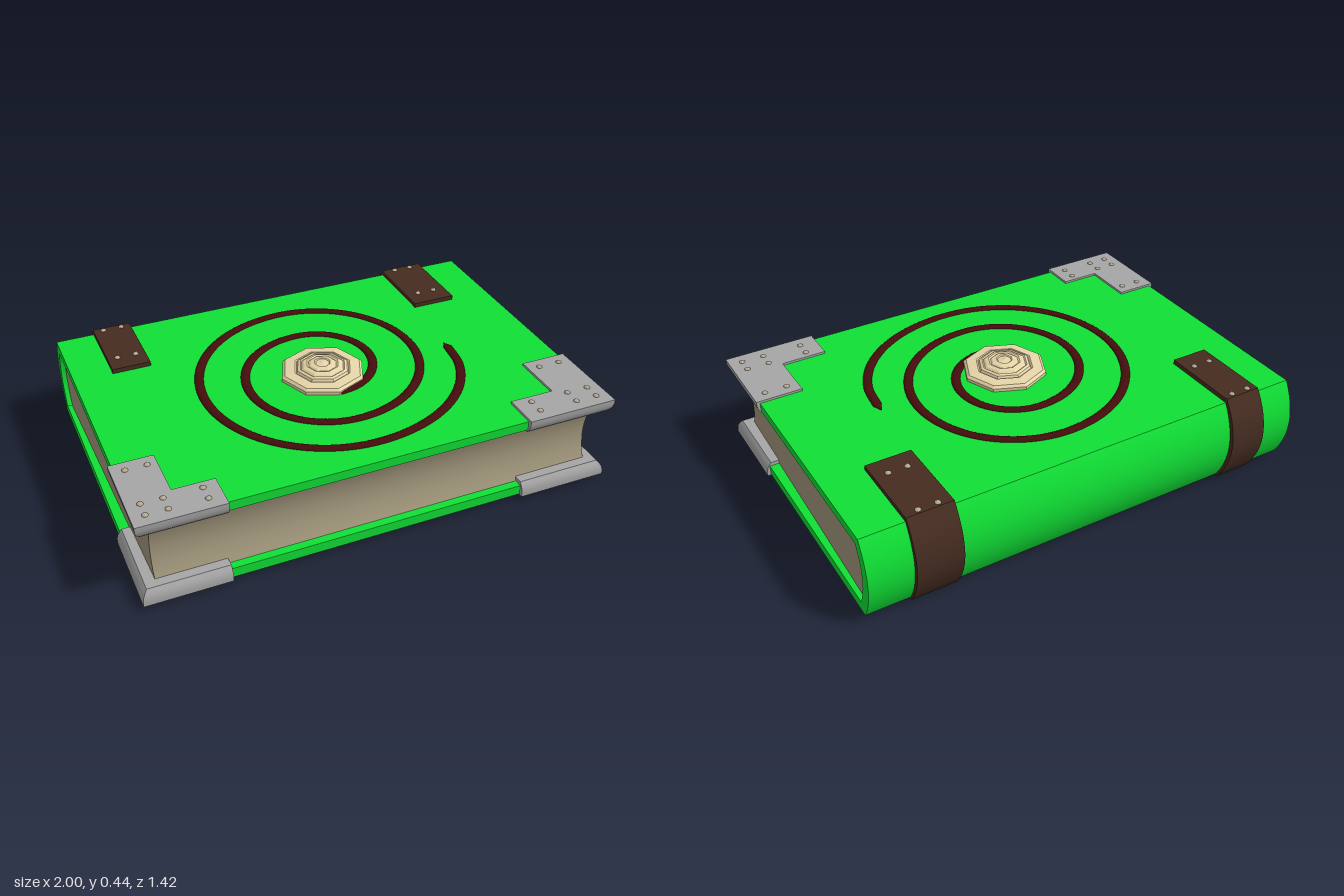
import * as THREE from 'three';
import { toCreasedNormals } from 'three/addons/utils/BufferGeometryUtils.js';

const mat = (color, extra = {}) => Object.assign(new THREE.MeshStandardMaterial(extra), { color: new THREE.Color(color) });

export function createModel() {
  const book = new THREE.Group();
  book.name = 'book';
  const green = mat(0x10e035), paper = mat(0xa2977c), leather = mat(0x452c20);
  const metal = mat(0xa6a6a6), stud = mat(0xb5a994), cord = mat(0x450c0c);
  const bone = mat(0xe6d5a8, { flatShading: true });

  const add = (name, geometry, material, parent = book) => {
    const mesh = new THREE.Mesh(geometry, material);
    mesh.name = name;
    parent.add(mesh);
    return mesh;
  };

  // Side profile (u = -z, y) extruded along x between x0 and x1
  const extrudeX = (shape, x0, x1) => new THREE.ExtrudeGeometry(shape, { depth: x1 - x0, bevelEnabled: false, curveSegments: 16 })
    .translate(0, 0, x0).rotateY(Math.PI / 2);

  // Open band wrapped round the back: outer outline, then inner outline
  const wrap = (front, o, i) => {
    const s = new THREE.Shape();
    s.moveTo(front, o.y0);
    s.lineTo(o.u, o.y0);
    s.quadraticCurveTo(2 * o.mid - o.u, (o.y0 + o.y1) / 2, o.u, o.y1);
    s.lineTo(front, o.y1);
    s.lineTo(front, i.y1);
    s.lineTo(i.u, i.y1);
    s.quadraticCurveTo(2 * i.mid - i.u, (i.y0 + i.y1) / 2, i.u, i.y0);
    s.lineTo(front, i.y0);
    s.closePath();
    return s;
  };

  // Cover boards and curved spine
  const coverShape = wrap(-0.692, { u: 0.635, mid: 0.69, y0: 0.022, y1: 0.39 }, { u: 0.605, mid: 0.642, y0: 0.066, y1: 0.35 });
  add('cover', toCreasedNormals(extrudeX(coverShape, -0.985, 0.985), 0.4), green);
  add('backPanel', new THREE.BoxGeometry(1.28, 0.006, 0.7).translate(0, 0.022, -0.03), green);

  // Page block: hollow fore edge, rounded back, slightly wider at the spine
  const pageShape = new THREE.Shape();
  pageShape.moveTo(-0.66, 0.06);
  pageShape.lineTo(0.595, 0.06);
  pageShape.quadraticCurveTo(0.67, 0.207, 0.595, 0.355);
  pageShape.lineTo(-0.66, 0.355);
  pageShape.quadraticCurveTo(-0.58, 0.207, -0.66, 0.06);
  const pages = extrudeX(pageShape, -0.965, 0.965);
  const pp = pages.attributes.position;
  for (let i = 0; i < pp.count; i++) pp.setX(i, pp.getX(i) * (1 - 0.031 * (pp.getZ(i) + 0.63) / 1.29));
  add('pages', toCreasedNormals(pages, 0.4), paper);

  // Domed studs on either face of the book
  const addStuds = (parent, points, y, up) => {
    for (const [x, z] of points) {
      const g = new THREE.SphereGeometry(0.013, 10, 4, 0, Math.PI * 2, 0, Math.PI / 2);
      if (!up) g.rotateX(Math.PI);
      add('stud', g.scale(1, 0.7, 1).translate(x, y, z), stud, parent);
    }
  };
  const grid = (xs, zs) => xs.flatMap(x => zs.map(z => [x, z]));

  // Leather straps over the spine
  for (const [side, x0, x1] of [['right', -0.82, -0.655], ['left', 0.605, 0.8]]) {
    const strap = new THREE.Group();
    strap.name = side + 'Strap';
    book.add(strap);
    const shape = wrap(0.29, { u: 0.64, mid: 0.71, y0: 0.012, y1: 0.41 }, { u: 0.62, mid: 0.67, y0: 0.03, y1: 0.38 });
    add('strapBand', toCreasedNormals(extrudeX(shape, x0, x1), 0.4), leather, strap);
    const mid = (x0 + x1) / 2;
    const spots = grid([mid - 0.04, mid + 0.04], [-0.62, -0.375]);
    addStuds(strap, spots, 0.409, true);
    addStuds(strap, spots, 0.0095, false);
  }

  // L-shaped metal corners, outer edges rolled in towards the pages
  const corner = (s, len, width, top) => {
    const pts = [[1, 0.33], [1, 0.71], [1 - len, 0.71], [1 - len, 0.555], [1 - width, 0.555], [1 - width, 0.33]];
    const shape = new THREE.Shape(pts.map(([x, z]) => new THREE.Vector2(s * x, z)));
    const depth = 0.063;
    const g = new THREE.ExtrudeGeometry(shape, { depth, steps: 5, bevelEnabled: false })
      .rotateX(Math.PI / 2).translate(0, top ? 0.4 : 0.083, 0);
    const p = g.attributes.position;
    for (let i = 0; i < p.count; i++) {
      const d = (top ? 0.4 - p.getY(i) : p.getY(i) - 0.02) / depth;
      const inset = 0.022 * d * d * d;
      if (Math.abs(p.getX(i)) > 0.99) p.setX(i, s * (1 - inset));
      if (p.getZ(i) > 0.7) p.setZ(i, 0.71 - inset);
    }
    return toCreasedNormals(g, 0.6);
  };
  for (const [side, s, len, width, inner, tip] of [['right', -1, 0.35, 0.18, 0.86, 0.71], ['left', 1, 0.395, 0.2, 0.85, 0.68]]) {
    for (const top of [true, false]) {
      const group = new THREE.Group();
      group.name = side + (top ? 'TopCorner' : 'BottomCorner');
      book.add(group);
      add('cornerPlate', corner(s, len, width, top), metal, group);
      const spots = [...grid([s * 0.945, s * inner], [0.38, 0.59, 0.655]), ...grid([s * tip], [0.59, 0.655])];
      addStuds(group, spots, top ? 0.399 : 0.021, top);
    }
  }

  // Spiral cord made of half circles of growing radius
  const ends = [0.21, -0.268, 0.408, -0.472, 0.578];
  const path = [];
  for (let k = 0; k < ends.length - 1; k++) {
    const c = (ends[k] + ends[k + 1]) / 2, r = Math.abs(ends[k] - ends[k + 1]) / 2;
    const dir = k % 2 ? -1 : 1;
    for (let i = 0; i < 12; i++) {
      const a = Math.PI * i / 12;
      path.push(new THREE.Vector3(dir * r * Math.sin(a), 0, c + dir * r * Math.cos(a)));
    }
  }
  for (let i = 0; i <= 6; i++) {
    const a = Math.PI / 2 * i / 6;
    path.push(new THREE.Vector3(0.578 * Math.sin(a), 0, 0.075 + 0.503 * Math.cos(a)));
  }
  const spiral = new THREE.Group();
  spiral.name = 'spiral';
  spiral.scale.y = 0.5;
  spiral.position.y = 0.39;
  book.add(spiral);
  add('spiralCord', new THREE.TubeGeometry(new THREE.CatmullRomCurve3(path), 220, 0.02, 10), cord, spiral);
  add('spiralTip', new THREE.ConeGeometry(0.02, 0.045, 10).rotateX(-Math.PI / 2).translate(0.578, 0, 0.053), cord, spiral);

  // Stepped eight-sided boss in the middle
  const profile = [[0.182, 0.385], [0.182, 0.404], [0.17, 0.414], [0.125, 0.419], [0.118, 0.414], [0.112, 0.424], [0.1, 0.429],
    [0.094, 0.425], [0.086, 0.432], [0.07, 0.437], [0.062, 0.433], [0.055, 0.438], [0.035, 0.442], [0.03, 0.438], [0.014, 0.44], [0, 0.444]];
  add('boss', new THREE.LatheGeometry(profile.map(([r, y]) => new THREE.Vector2(r, y)), 8).translate(-0.005, 0, 0.045), bone);

  return book;
}
